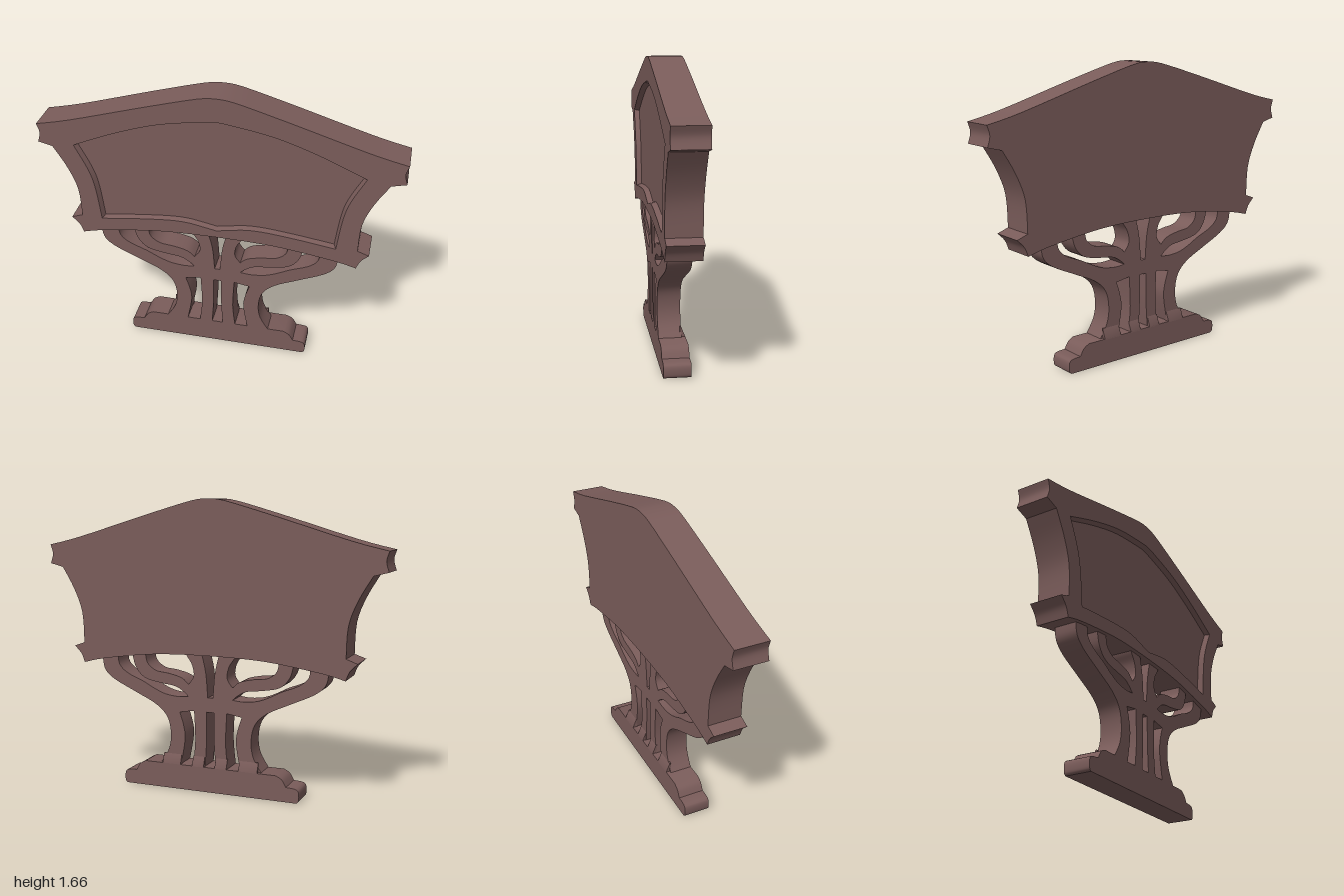
import * as THREE from 'three';
import { toCreasedNormals } from 'three/addons/utils/BufferGeometryUtils.js';

const material = new THREE.MeshStandardMaterial({ color: 0x7a5c5a });

// Joins smooth spans into one outline; corners stay where spans meet.
function trace(spans) {
  const out = [];
  for (const span of spans) {
    let pts = span.map(([x, y]) => new THREE.Vector2(x, y));
    if (pts.length > 2) pts = new THREE.SplineCurve(pts).getPoints((pts.length - 1) * 4);
    for (const p of pts) if (!out.length || out[out.length - 1].distanceTo(p) > 1e-4) out.push(p);
  }
  if (out[0].distanceTo(out[out.length - 1]) < 1e-4) out.pop();
  return out;
}

const flip = (pts) => pts.map((p) => new THREE.Vector2(-p.x, p.y)).reverse();

// Closes a half outline (from centre line to centre line) with its mirror image.
function symmetric(spans) {
  const half = trace(spans);
  return [...half, ...flip(half).filter((p) => Math.abs(p.x) > 1e-4)];
}

function addMesh(group, name, geometry) {
  const mesh = new THREE.Mesh(toCreasedNormals(geometry, 0.5), material);
  mesh.name = name;
  group.add(mesh);
  return mesh;
}

function addSlab(group, name, outline, z0, z1, holes = []) {
  const shape = new THREE.Shape(outline);
  shape.holes = holes.map((h) => new THREE.Path(h));
  const geometry = new THREE.ExtrudeGeometry(shape, { depth: z1 - z0, bevelEnabled: false });
  return addMesh(group, name, geometry.translate(0, 0, z0));
}

// Sloping wall between the frame opening and the sunken panel.
function slopeGeometry(outer, inner, zOuter, zInner) {
  const pos = [];
  outer.forEach((a, i) => {
    const j = (i + 1) % outer.length;
    const b = outer[j], c = inner[j], d = inner[i];
    pos.push(a.x, a.y, zOuter, b.x, b.y, zOuter, c.x, c.y, zInner);
    pos.push(a.x, a.y, zOuter, c.x, c.y, zInner, d.x, d.y, zInner);
  });
  const g = new THREE.BufferGeometry();
  g.setAttribute('position', new THREE.Float32BufferAttribute(pos, 3));
  g.computeVertexNormals();
  return g;
}

export function createModel() {
  const group = new THREE.Group();

  // Sign board: outer frame, sunken face and sloped lip
  const board = symmetric([
    [[0, 1.66], [-0.1, 1.648], [-0.39, 1.566], [-0.8, 1.443], [-1, 1.395]],
    [[-1, 1.395], [-0.985, 1.342], [-1, 1.285]],
    [[-1, 1.285], [-0.92, 1.265]],
    [[-0.92, 1.265], [-0.845, 1.137], [-0.795, 1.0], [-0.786, 0.826]],
    [[-0.786, 0.826], [-0.85, 0.803]],
    [[-0.85, 0.803], [-0.808, 0.76], [-0.786, 0.708]],
    [[-0.786, 0.708], [-0.66, 0.738], [-0.39, 0.777], [-0.2, 0.79], [0, 0.793]],
  ]);
  const opening = symmetric([
    [[0, 1.523], [-0.06, 1.518], [-0.31, 1.473], [-0.55, 1.393], [-0.797, 1.287]],
    [[-0.797, 1.287], [-0.725, 1.14], [-0.692, 1.02], [-0.668, 0.82]],
    [[-0.668, 0.82], [-0.47, 0.848], [-0.28, 0.868], [-0.17, 0.868], [-0.08, 0.853], [0, 0.837]],
  ]);
  const lip = opening.map((p) => new THREE.Vector2(p.x * 0.98, 1.15 + (p.y - 1.15) * 0.965));
  addSlab(group, 'boardFrame', board, -0.095, 0.095, [opening]);
  addSlab(group, 'sunkenFace', opening, -0.095, 0.065);
  addMesh(group, 'faceLip', slopeGeometry(opening, lip, 0.095, 0.065));

  // Pedestal: curved arms and legs, cut out of one slab
  const pedestal = symmetric([
    [[0, 0.815], [-0.685, 0.815]],
    [[-0.685, 0.815], [-0.684, 0.73], [-0.667, 0.663], [-0.604, 0.61], [-0.47, 0.547], [-0.337, 0.483],
      [-0.267, 0.413], [-0.246, 0.316], [-0.26, 0.225], [-0.31, 0.14]],
    [[-0.31, 0.14], [0, 0.14]],
  ]);
  const sideHoles = [
    // between outer and inner arm
    [[[-0.583, 0.805], [-0.583, 0.757], [-0.572, 0.7], [-0.52, 0.655], [-0.42, 0.613], [-0.35, 0.577],
      [-0.28, 0.55], [-0.2, 0.54], [-0.135, 0.545]],
    [[-0.135, 0.545], [-0.17, 0.575], [-0.22, 0.6], [-0.31, 0.612], [-0.41, 0.635], [-0.465, 0.69],
      [-0.487, 0.76], [-0.49, 0.805]]],
    // between inner arm and centre post
    [[[-0.406, 0.805], [-0.404, 0.77], [-0.39, 0.72], [-0.337, 0.682], [-0.257, 0.671], [-0.176, 0.65],
      [-0.134, 0.615]],
    [[-0.134, 0.615], [-0.102, 0.665], [-0.112, 0.73], [-0.144, 0.78], [-0.155, 0.805]]],
    // between outer and inner leg
    [[[-0.19, 0.45], [-0.165, 0.37], [-0.157, 0.29], [-0.182, 0.145]],
      [[-0.182, 0.145], [-0.107, 0.145]],
      [[-0.107, 0.145], [-0.093, 0.29], [-0.1, 0.465]],
      [[-0.1, 0.465], [-0.19, 0.45]]],
  ].map(trace);
  const centreHoles = [
    [[[0, 0.805], [-0.055, 0.805]], [[-0.055, 0.805], [-0.028, 0.69], [-0.016, 0.547]], [[-0.016, 0.547], [0, 0.547]]],
    [[[0, 0.463], [-0.022, 0.463]], [[-0.022, 0.463], [-0.023, 0.3], [-0.032, 0.145]], [[-0.032, 0.145], [0, 0.145]]],
  ].map(symmetric);
  addSlab(group, 'pedestal', pedestal, -0.058, 0.07, [...sideHoles, ...sideHoles.map(flip), ...centreHoles]);

  // Stepped base
  addSlab(group, 'base', symmetric([
    [[0, 0.145], [-0.4, 0.145]],
    [[-0.4, 0.145], [-0.435, 0.125], [-0.46, 0.085]],
    [[-0.46, 0.085], [-0.515, 0.08], [-0.533, 0.06], [-0.533, 0.015], [-0.52, 0]],
    [[-0.52, 0], [0, 0]],
  ]), -0.08, 0.07);

  // Sloped heels behind the four legs
  for (const side of [-1, 1]) {
    for (const [x0, x1] of [[0.178, 0.29], [0.034, 0.105]]) {
      const profile = [[0.05, 0.14], [0.08, 0.14], [0.08, 0.145], [0.058, 0.2], [0.05, 0.2]]
        .map(([z, y]) => new THREE.Vector2(z, y));
      const heel = addSlab(group, 'legHeel', profile, 0, x1 - x0);
      heel.rotation.y = Math.PI;
      heel.geometry.rotateY(-Math.PI / 2);
      heel.geometry.translate(side > 0 ? -x0 : x1, 0, 0);
    }
  }
  return group;
}
